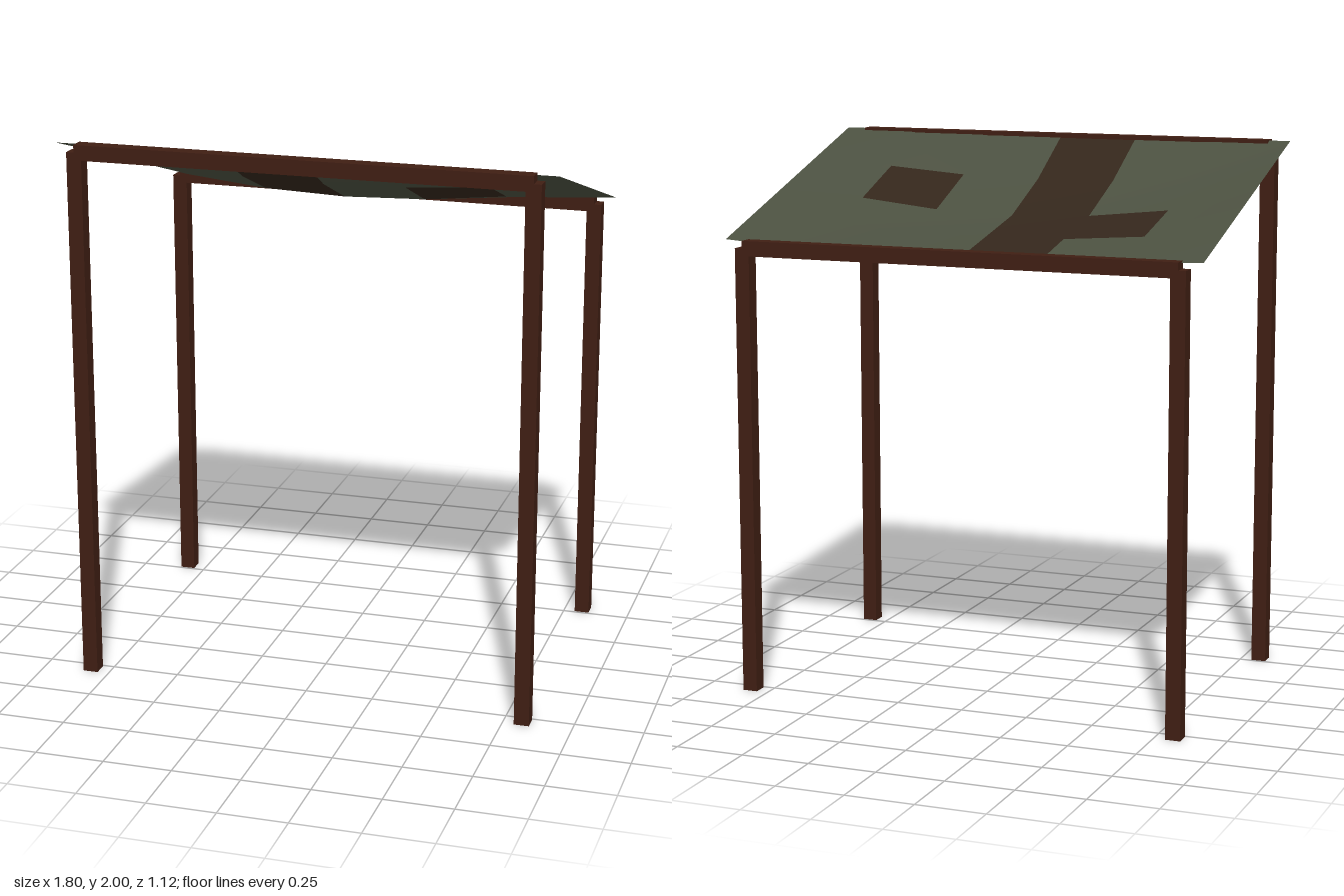
import * as THREE from 'three';

const W = 1.8, D = 1.06, COLS = 6, ROWS = 4;
const FRONT_Y = 1.997, BACK_Y = 1.672;
const BAR = 0.055, POST_X = 0.82, POST_Z = 0.535;

// Sheet sloping from front to back, sagging in the middle
function canopyGeometry() {
  const geo = new THREE.PlaneGeometry(W, D, COLS, ROWS).rotateX(-Math.PI / 2);
  const sag = [0.035, 0.065, 0.095, 0.068, 0]; // middle sag per row, back to front
  const pos = geo.attributes.position;
  for (let i = 0; i < pos.count; i++) {
    const row = Math.floor(i / (COLS + 1));
    const x = pos.getX(i) / (W / 2);
    const y = THREE.MathUtils.lerp(BACK_Y, FRONT_Y, row / ROWS) - sag[row] * (1 - x * x);
    pos.setY(i, y);
  }
  geo.computeVertexNormals();
  return geo;
}

// Keeps only the grid cells for which test(column, row) is true
function pickCells(geo, test) {
  const out = geo.clone();
  const index = Array.from(geo.index.array);
  out.setIndex(index.filter((_, i) => {
    const cell = Math.floor(i / 6);
    return test(cell % COLS, Math.floor(cell / COLS));
  }));
  return out;
}

export function createModel() {
  const model = new THREE.Group();
  model.name = 'canopyShelter';
  const wood = new THREE.MeshStandardMaterial({ color: 0x3f1e13 });
  const green = new THREE.MeshStandardMaterial({ color: 0x4b5040, side: THREE.DoubleSide });
  const brown = new THREE.MeshStandardMaterial({ color: 0x33261b, side: THREE.DoubleSide });

  const add = (name, geo, mat, x = 0, y = 0, z = 0) => {
    const mesh = new THREE.Mesh(geo, mat);
    mesh.name = name;
    mesh.position.set(x, y, z);
    model.add(mesh);
  };

  // Two posts and a crossbeam at each end; posts stop at the beam's centre line
  for (const [end, z, top] of [['front', POST_Z, 2], ['back', -POST_Z, 1.673]]) {
    const beamY = top - BAR / 2;
    for (const [side, x] of [['Left', POST_X], ['Right', -POST_X]]) {
      add(`${end}${side}Post`, new THREE.BoxGeometry(BAR, beamY, BAR), wood, x, beamY / 2, z);
    }
    add(`${end}Beam`, new THREE.BoxGeometry(POST_X * 2, BAR, BAR), wood, 0, beamY, z);
  }

  // Canopy with a brown stripe and two brown patches
  const isBrown = (c, r) => c === 2 || (c === 1 && r === 1) || (c === 4 && r === 2);
  const sheet = canopyGeometry();
  add('canopySheet', pickCells(sheet, (c, r) => !isBrown(c, r)), green);
  add('canopyPatches', pickCells(sheet, isBrown), brown);
  return model;
}
